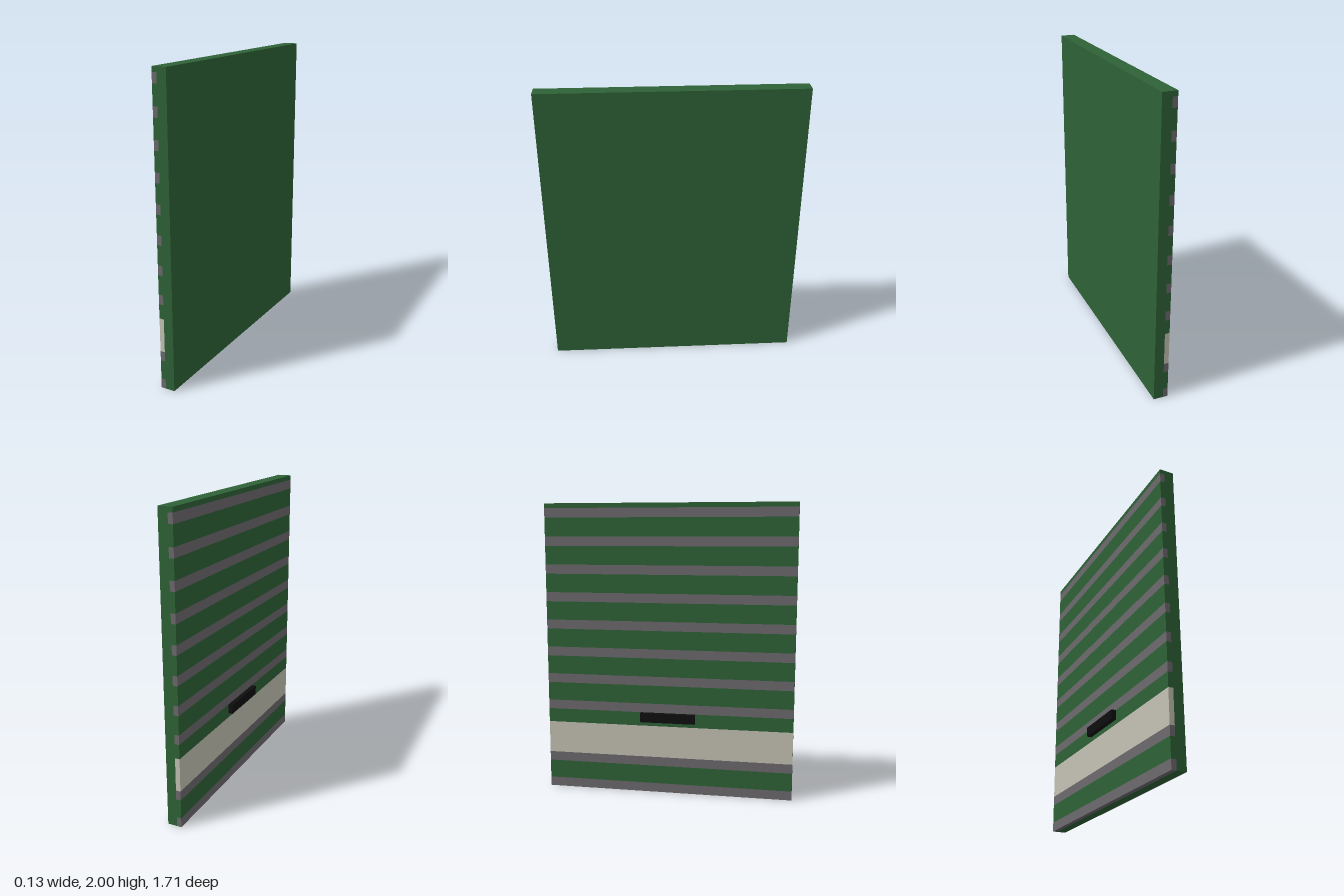
import * as THREE from 'three';

export function createModel() {
  const u = 2 / 31.5; // slat module
  const depth = 27 * u;
  const mat = (name, color) => {
    const m = new THREE.MeshStandardMaterial({ color });
    m.name = name;
    return m;
  };
  const green = mat('green', 0x2e6236);
  const grey = mat('grey', 0x6c696d);
  const cream = mat('cream', 0xc4c2b4);
  const black = mat('black', 0x0e0e0e);

  const group = new THREE.Group();
  group.name = 'slattedPanel';

  // Box given by x and y limits in modules, centred on z
  const box = (name, material, x0, x1, y0, y1, length = depth) => {
    const mesh = new THREE.Mesh(new THREE.BoxGeometry((x1 - x0) * u, (y1 - y0) * u, length), material);
    mesh.position.set((x0 + x1) / 2 * u, (y0 + y1) / 2 * u, 0);
    mesh.name = name;
    group.add(mesh);
  };

  // Backing board
  box('backingBoard', green, 0, 1, 0, 31.5);

  // Alternating grey and green slats, interrupted by the cream band
  for (let k = 0; k <= 10; k++) {
    const y = k * 3;
    if (k !== 2) box('greySlat', grey, -0.5, 0, y, y + 1);
    if (k === 1) continue;
    box('greenSlat', green, -0.5, 0, k === 2 ? 7.5 : y + 1, Math.min(y + 3, 31.5));
  }
  box('creamBand', cream, -0.5, 0, 4, 7.5);

  // Handle
  box('handle', black, -1, -0.5, 8, 9, 6 * u);

  return group;
}
